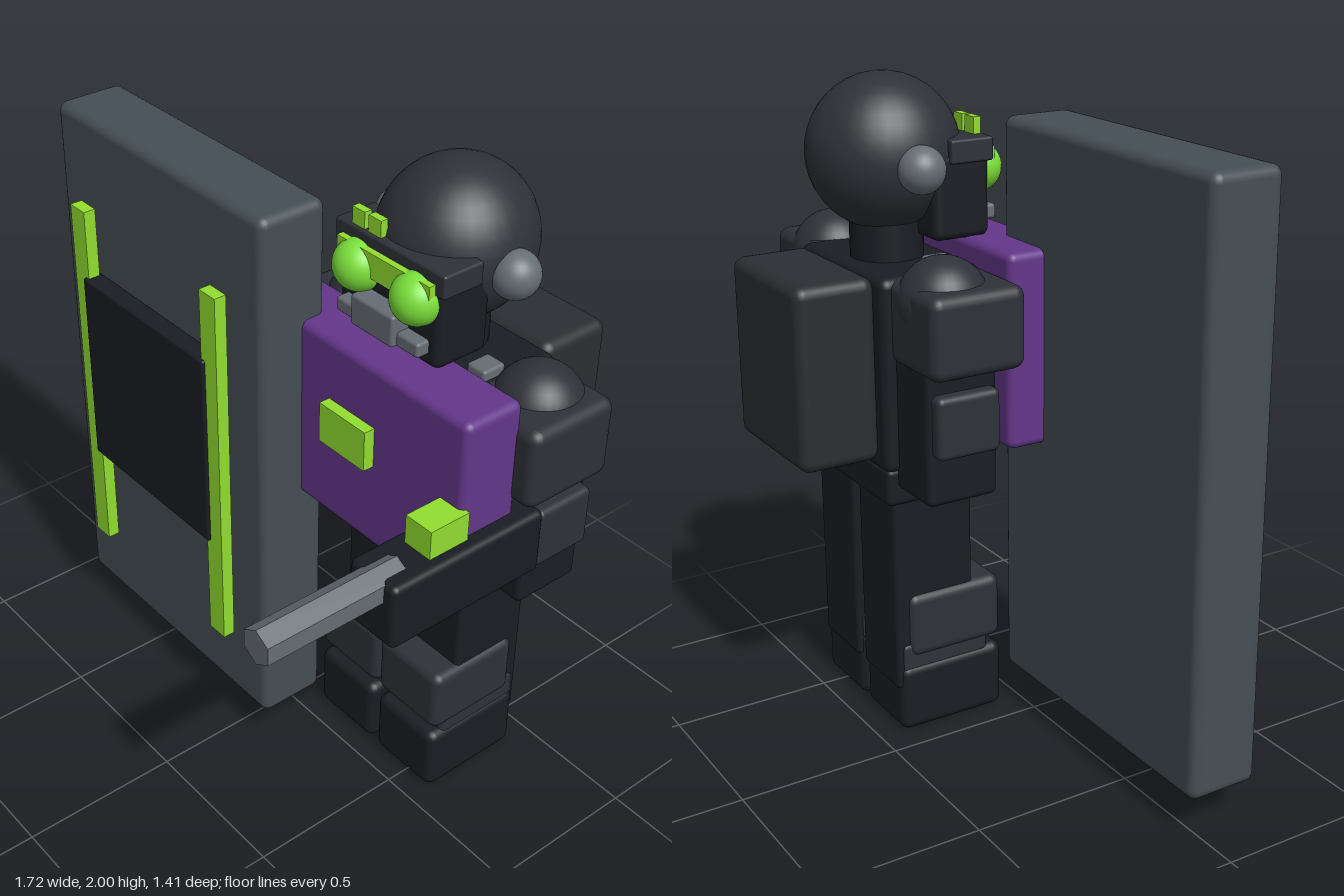
import * as THREE from 'three';
import { RoundedBoxGeometry } from 'three/addons/geometries/RoundedBoxGeometry.js';

const mat = (color) => new THREE.MeshStandardMaterial({ color });
const M = {
  black: mat(0x1a1d23), dark: mat(0x2e3138), pack: mat(0x2b2e32), slate: mat(0x454e55),
  grey: mat(0x666d74), purple: mat(0x64368a), green: mat(0x92dd30), lens: mat(0x7be03a),
};
const CX = 0.343; // centre line of the figure

export function createModel() {
  const model = new THREE.Group();
  model.name = 'shieldTrooper';

  const add = (name, geo, material, x, y, z, parent = model) => {
    const mesh = new THREE.Mesh(geo, material);
    mesh.name = name;
    mesh.position.set(x, y, z);
    parent.add(mesh);
    return mesh;
  };
  // Box given by its limits on each axis; r is the edge rounding
  const box = (name, material, [x0, x1], [y0, y1], [z0, z1], r = 0, parent = model) => {
    const s = [x1 - x0, y1 - y0, z1 - z0];
    const geo = r ? new RoundedBoxGeometry(...s, 3, r) : new THREE.BoxGeometry(...s);
    return add(name, geo, material, (x0 + x1) / 2, (y0 + y1) / 2, (z0 + z1) / 2, parent);
  };
  const ball = (name, material, r, x, y, z, parent = model) =>
    add(name, new THREE.SphereGeometry(r, 32, 20), material, x, y, z, parent);
  // x limits measured outward from the centre line, on side s
  const span = (s, a, b) => (s > 0 ? [CX + a, CX + b] : [CX - b, CX - a]);

  // Shield with front plate and two light bars
  const shield = new THREE.Group();
  shield.name = 'shield';
  model.add(shield);
  box('shieldSlab', M.slate, [-0.86, 0.125], [0.12, 1.88], [-0.03, 0.195], 0.03, shield);
  box('shieldPlate', M.black, [-0.675, -0.065], [0.74, 1.385], [0.2, 0.262], 0.008, shield);
  for (const x of [-0.692, -0.047])
    box('shieldBar', M.green, [x - 0.036, x + 0.036], [0.387, 1.61], [0.213, 0.252], 0, shield);

  // Body
  box('chestPlate', M.purple, [-0.1, 0.785], [0.94, 1.53], [-0.145, 0.055], 0.025);
  box('chestBadge', M.green, [0.245, 0.435], [1.213, 1.34], [0.04, 0.09]);
  box('torso', M.black, [0.073, 0.612], [0.87, 1.46], [-0.46, -0.12], 0.03);
  box('belt', M.black, [0.08, 0.606], [0.765, 0.885], [-0.455, -0.135], 0.02);
  for (const x of [0.07, 0.215])
    box('beltPouch', M.dark, [x, x + 0.1], [0.785, 0.92], [-0.2, -0.122], 0.015);
  box('backpack', M.pack, [0.115, 0.57], [0.905, 1.46], [-0.705, -0.455], 0.035);
  add('neck', new THREE.CylinderGeometry(0.11, 0.11, 0.18, 24), M.black, CX, 1.5, -0.3);

  // Head
  const head = new THREE.Group();
  head.name = 'head';
  model.add(head);
  ball('helmet', M.dark, 0.23, CX, 1.77, -0.303, head).scale.x = 0.97;
  box('face', M.black, [0.143, 0.543], [1.525, 1.78], [-0.245, -0.06], 0.025, head);
  box('browBand', M.dark, [0.128, 0.558], [1.75, 1.82], [-0.195, -0.056], 0.008, head);
  box('goggleBridge', M.green, [0.16, 0.525], [1.71, 1.785], [-0.1, -0.035], 0, head);
  for (const x of [0.185, 0.25])
    box('browLight', M.green, [x, x + 0.05], [1.815, 1.87], [-0.09, -0.066], 0, head);
  box('mask', M.grey, [0.257, 0.427], [1.565, 1.66], [-0.08, -0.002], 0.01, head);
  for (const s of [1, -1]) {
    ball('goggleLens', M.lens, 0.076, CX + s * 0.115, 1.717, -0.058, head);
    ball('earpiece', M.grey, 0.07, CX + s * 0.227, 1.75, -0.3, head);
    box('maskFilter', M.grey, span(s, 0.07, 0.165), [1.565, 1.61], [-0.08, -0.02], 0.01, head);
  }

  // Arms and legs, mirrored
  for (const s of [1, -1]) {
    const arm = new THREE.Group();
    arm.name = s > 0 ? 'leftArm' : 'rightArm';
    box('shoulderPad', M.dark, span(s, 0.205, 0.512), [1.21, 1.457], [-0.43, -0.125], 0.035, arm);
    ball('shoulderBall', M.dark, 0.133, CX + s * 0.345, 1.397, -0.305, arm);
    box('upperArm', M.black, span(s, 0.23, 0.447), [0.82, 1.25], [-0.42, -0.19], 0.02, arm);
    box('elbowPad', M.dark, span(s, 0.38, 0.487), [0.97, 1.16], [-0.405, -0.2], 0.02, arm);
    box('collarStrap', M.grey, span(s, 0.17, 0.24), [1.44, 1.49], [-0.28, -0.2], 0.01, arm);

    const leg = new THREE.Group();
    leg.name = s > 0 ? 'leftLeg' : 'rightLeg';
    box('leg', M.black, span(s, 0.02, 0.252), [0.15, 0.8], [-0.435, -0.168], 0.015, leg);
    box('kneePad', M.dark, span(s, 0.003, 0.267), [0.25, 0.46], [-0.395, -0.075], 0.03, leg);
    box('ankleCuff', M.dark, span(s, 0.012, 0.258), [0.2, 0.3], [-0.42, -0.118], 0.02, leg);
    box('boot', M.black, span(s, 0.01, 0.265), [0.005, 0.225], [-0.425, -0.07], 0.03, leg);
    model.add(arm, leg);
  }

  // Forearm carrying the barrel
  box('forearm', M.black, [0.657, 0.836], [0.97, 1.175], [-0.21, 0.33], 0.02);
  box('forearmSight', M.green, [0.7, 0.797], [1.17, 1.265], [0.04, 0.175]);
  const barrelMat = M.grey.clone();
  barrelMat.flatShading = true;
  const barrel = add('barrel', new THREE.CylinderGeometry(0.055, 0.055, 0.46, 6), barrelMat, 0.748, 1.14, 0.475);
  barrel.rotation.x = Math.PI / 2;

  return model;
}
